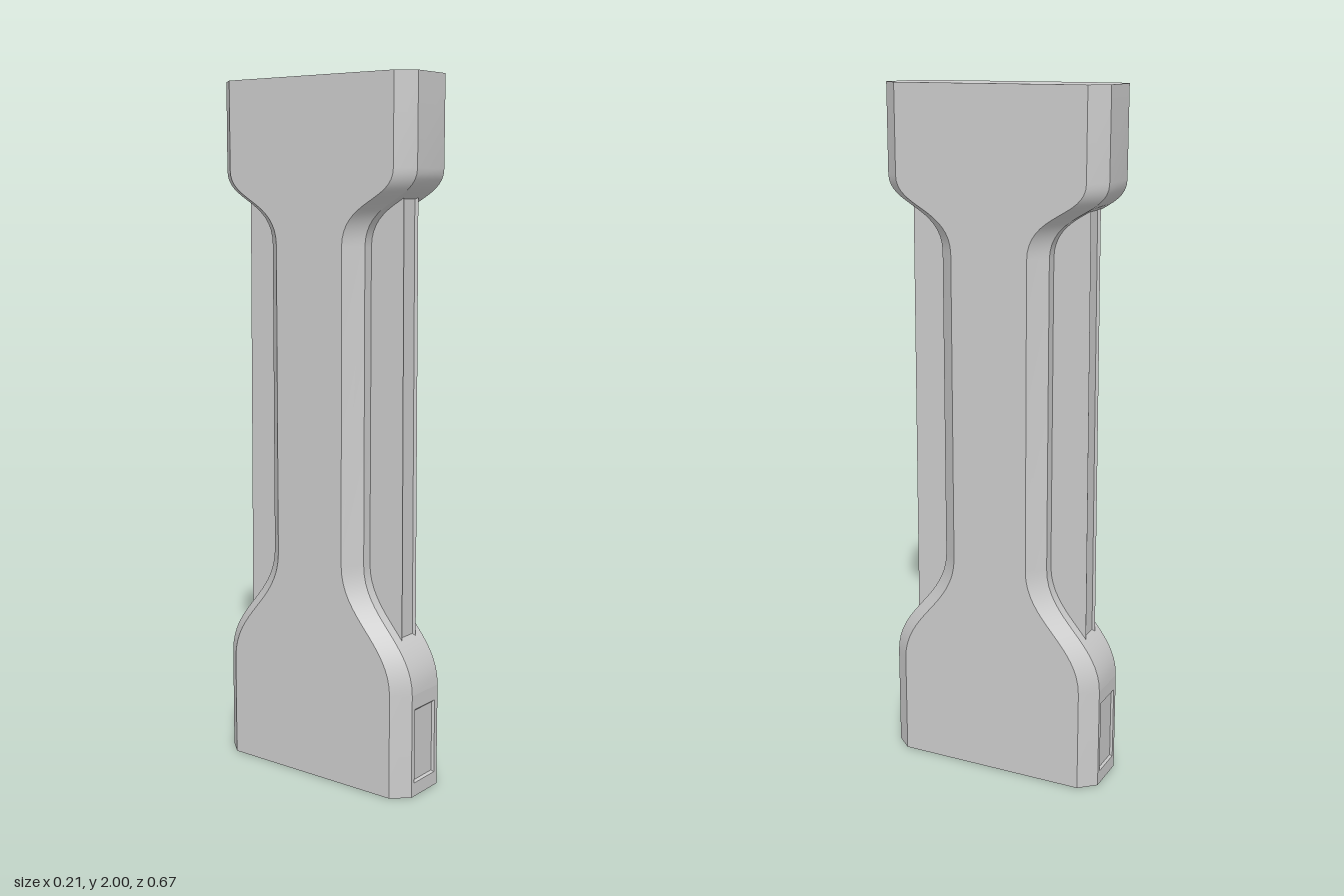
import * as THREE from 'three';
import { toCreasedNormals } from 'three/addons/utils/BufferGeometryUtils.js';

const HALF_W = 0.106, FACE_W = 0.064, CHAMFER = 0.048;
const material = new THREE.MeshStandardMaterial({ color: 0xcccccc });

// Skins a stack of equal-length rings; rings run counterclockwise seen from the end.
function loft(rings, { capStart = false, capEnd = false, skip = () => false } = {}) {
  const pos = [];
  const tri = (a, b, c) => pos.push(...a, ...b, ...c);
  const n = rings[0].length;
  for (let r = 0; r < rings.length - 1; r++) {
    for (let i = 0; i < n; i++) {
      if (skip(r, i)) continue;
      const j = (i + 1) % n, a = rings[r], b = rings[r + 1];
      tri(a[i], a[j], b[j]);
      tri(a[i], b[j], b[i]);
    }
  }
  const first = rings[0], last = rings[rings.length - 1];
  for (let i = 1; i < n - 1; i++) {
    if (capStart) tri(first[0], first[i + 1], first[i]);
    if (capEnd) tri(last[0], last[i], last[i + 1]);
  }
  const geometry = new THREE.BufferGeometry();
  geometry.setAttribute('position', new THREE.Float32BufferAttribute(pos, 3));
  return toCreasedNormals(geometry, 0.5);
}

function addPart(parent, name, geometry) {
  const mesh = new THREE.Mesh(geometry, material);
  mesh.name = name;
  parent.add(mesh);
}

// Half depth (x) against height (y): wide foot, slim waist, wide head
function depthProfile() {
  const v = (h, y) => new THREE.Vector2(h, y);
  const lower = new THREE.CubicBezierCurve(v(0.333, 0.3), v(0.333, 0.45), v(0.163, 0.5), v(0.163, 0.65));
  const upper = new THREE.CubicBezierCurve(v(0.163, 1.54), v(0.163, 1.67), v(0.333, 1.66), v(0.333, 1.75));
  return [v(0.333, 0), ...lower.getPoints(16), ...upper.getPoints(16), v(0.333, 2)];
}

// Chamfered rectangle at one height
function bodyRing({ x: h, y }) {
  const s = h - CHAMFER;
  return [
    [-FACE_W, y, h], [FACE_W, y, h], [HALF_W, y, s], [HALF_W, y, -s],
    [FACE_W, y, -h], [-FACE_W, y, -h], [-HALF_W, y, -s], [-HALF_W, y, s],
  ];
}

// Upright rectangle whose depth may differ at bottom and top
function rect(w, y0, y1, z0, z1 = z0) {
  return [[-w, y0, z0], [w, y0, z0], [w, y1, z1], [-w, y1, z1]];
}

export function createModel() {
  const model = new THREE.Group();
  model.name = 'pillar';

  // Body, left open where the two foot panels sit
  addPart(model, 'body', loft(depthProfile().map(bodyRing), {
    capStart: true, capEnd: true, skip: (r, i) => r === 0 && (i === 0 || i === 4),
  }));

  for (const side of ['front', 'back']) {
    const group = new THREE.Group();
    group.name = side + 'Details';
    if (side === 'back') group.rotation.y = Math.PI;

    // Foot face with a shallow recessed panel
    addPart(group, 'footPanel', loft([
      rect(FACE_W, 0, 0.3, 0.333),
      rect(0.05, 0.04, 0.258, 0.333),
      rect(0.044, 0.046, 0.252, 0.327),
    ], { capEnd: true }));

    // Slim strip spanning the waist, with a recessed face
    addPart(group, 'strip', loft([
      rect(0.034, 0.43, 1.68, 0.12),
      rect(0.034, 0.43, 1.68, 0.276, 0.27),
      rect(0.026, 0.438, 1.672, 0.27, 0.264),
    ], { capEnd: true }));
    model.add(group);
  }
  return model;
}
